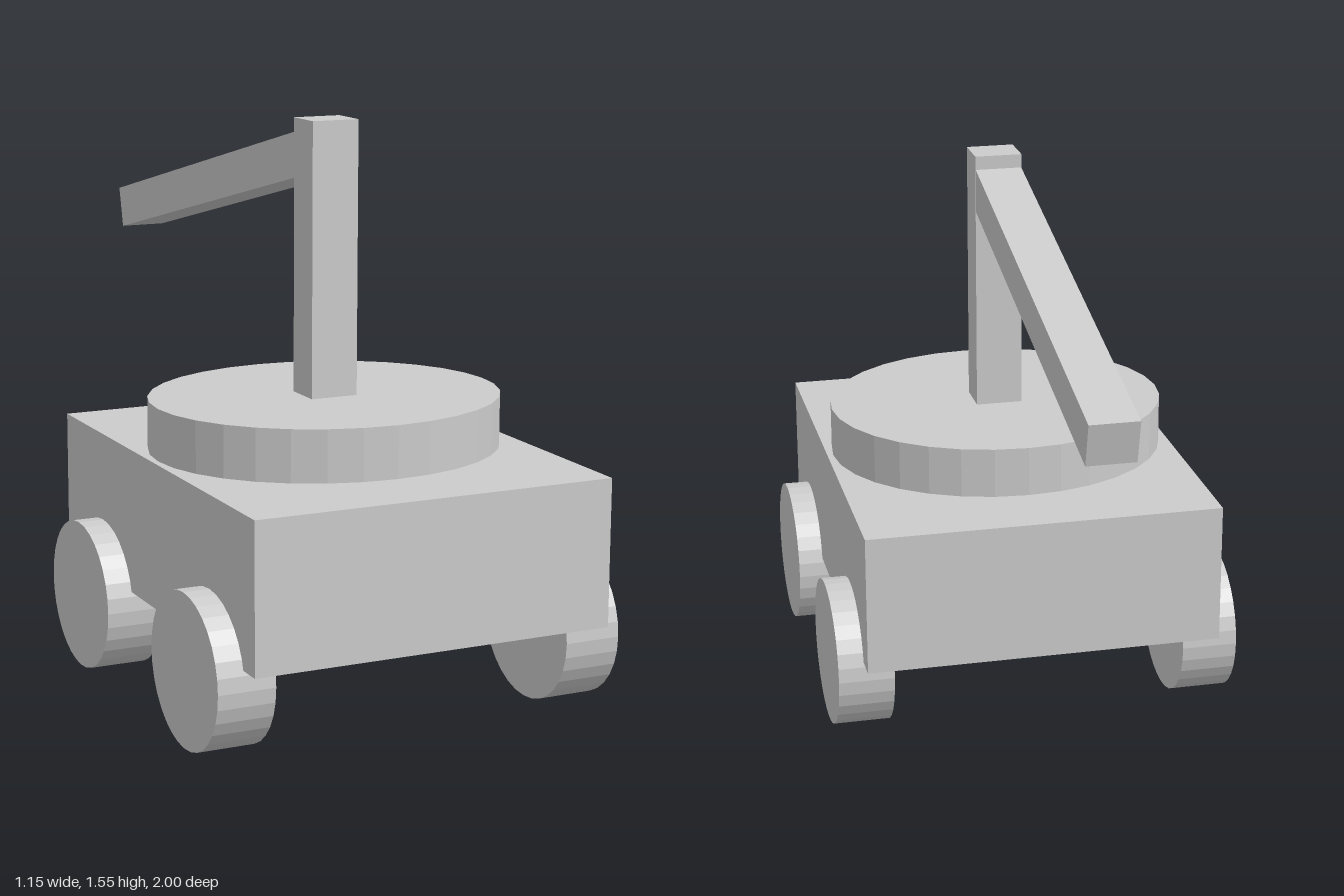
import * as THREE from 'three';

export function createModel() {
  const model = new THREE.Group();
  const material = new THREE.MeshStandardMaterial({ color: 0xcccccc, flatShading: true });

  function add(name, geometry, x, y, z) {
    const mesh = new THREE.Mesh(geometry, material);
    mesh.name = name;
    mesh.position.set(x, y, z);
    model.add(mesh);
    return mesh;
  }

  // Chassis block
  add('chassis', new THREE.BoxGeometry(1.01, 0.4, 1.305), 0, 0.46, 0.3475);

  // Slightly oval turntable
  const disc = new THREE.CylinderGeometry(1, 1, 0.142, 32).scale(0.488, 1, 0.435);
  add('turntable', disc, 0, 0.731, 0.345);

  // Upright mast
  add('mast', new THREE.BoxGeometry(0.134, 0.745, 0.115), 0, 1.1745, 0.3475);

  // Arm sloping down to the back, its near end sunk into the mast
  const start = new THREE.Vector3(0, 1.461, 0.35);
  const end = new THREE.Vector3(0, 1.148, -0.985);
  const mid = start.clone().lerp(end, 0.5);
  const arm = add('arm', new THREE.BoxGeometry(0.132, 0.12, start.distanceTo(end)), 0, mid.y, mid.z);
  arm.rotation.x = Math.atan2(end.y - start.y, start.z - end.z);

  // Four wheels, partly sunk into the chassis sides
  const wheel = new THREE.CylinderGeometry(1, 1, 0.158, 32).rotateZ(Math.PI / 2).scale(1, 0.207, 0.217);
  for (const [side, x] of [['left', 0.498], ['right', -0.498]]) {
    add(side + 'FrontWheel', wheel, x, 0.207, 0.722);
    add(side + 'BackWheel', wheel, x, 0.207, -0.025);
  }

  return model;
}
